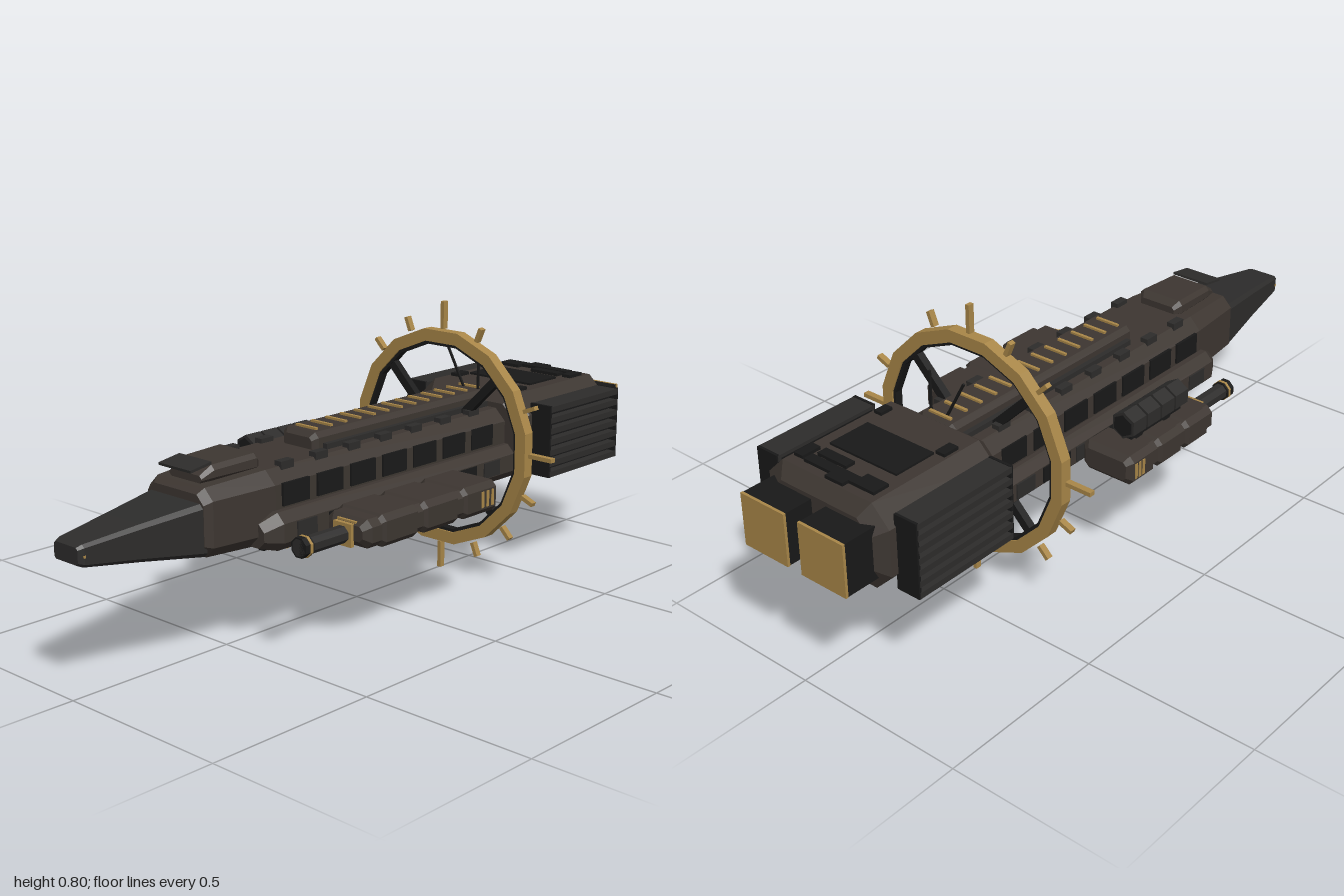
import * as THREE from 'three';

const mat = (color) => new THREE.MeshStandardMaterial({ color, flatShading: true });

export function createModel() {
  const root = new THREE.Group();
  const hull = mat(0x3d3631), dark = mat(0x2d2c2b), black = mat(0x191919), gold = mat(0xa88648);

  function add(name, geo, material, x = 0, y = 0, z = 0, parent = root) {
    const m = new THREE.Mesh(geo, material);
    m.name = name;
    m.position.set(x, y, z);
    parent.add(m);
    return m;
  }
  const box = (name, material, w, h, d, x, y, z, parent) =>
    add(name, new THREE.BoxGeometry(w, h, d), material, x, y, z, parent);

  // Eight-sided loft along z; sections are [z, halfWidth, bottom, top, chamfer], back to front
  function loft(sections) {
    const rings = sections.map(([z, w, b, t, c]) => [
      [w, b + c], [w, t - c], [w - c, t], [c - w, t], [-w, t - c], [-w, b + c], [c - w, b], [w - c, b],
    ].map(([x, y]) => [x, y, z]));
    const p = [];
    for (let s = 0; s < rings.length - 1; s++) {
      const a = rings[s], b = rings[s + 1];
      for (let i = 0; i < 8; i++) {
        const j = (i + 1) % 8;
        p.push(...a[i], ...a[j], ...b[j], ...a[i], ...b[j], ...b[i]);
      }
    }
    const back = rings[0], front = rings[rings.length - 1];
    for (let i = 1; i < 7; i++) {
      p.push(...front[0], ...front[i], ...front[i + 1]);
      p.push(...back[0], ...back[i + 1], ...back[i]);
    }
    const g = new THREE.BufferGeometry();
    g.setAttribute('position', new THREE.Float32BufferAttribute(p, 3));
    g.computeVertexNormals();
    return g;
  }
  // Block with all edges chamfered
  const block = (z0, z1, w, b, t, c) => loft([
    [z0, w - c, b + c, t - c, c * 0.6], [z0 + c, w, b, t, c], [z1 - c, w, b, t, c], [z1, w - c, b + c, t - c, c * 0.6],
  ]);
  // Tube or drum lying along z
  const drum = (r0, r1, len, sides) =>
    new THREE.CylinderGeometry(r0, r1, len, sides).rotateY(Math.PI / sides).rotateX(Math.PI / 2);

  // Hull
  add('nose', loft([[0.65, 0.105, 0.3, 0.44, 0.012], [0.83, 0.075, 0.325, 0.42, 0.01],
    [0.985, 0.052, 0.345, 0.402, 0.008], [1, 0.045, 0.352, 0.396, 0.006]]), dark);
  add('upperHull', loft([[-0.5, 0.145, 0.29, 0.485, 0.035], [0.45, 0.14, 0.29, 0.485, 0.035],
    [0.64, 0.118, 0.295, 0.475, 0.03], [0.66, 0.105, 0.305, 0.46, 0.025]]), hull);
  add('lowerHull', loft([[-0.5, 0.182, 0.284, 0.385, 0.025], [0.46, 0.182, 0.284, 0.385, 0.025],
    [0.505, 0.155, 0.295, 0.36, 0.02]]), hull);

  // Dorsal spine with rungs
  add('spine', block(-0.51, 0.23, 0.065, 0.465, 0.53, 0.014), hull);
  box('spineSkirt', dark, 0.16, 0.03, 0.7, 0, 0.485, -0.15);
  for (let i = 0; i < 13; i++) box('spineRung', gold, 0.075, 0.008, 0.009, 0, 0.532, 0.195 - i * 0.0567);

  // Bridge
  add('bridge', loft([[0.43, 0.06, 0.475, 0.505, 0.008], [0.45, 0.075, 0.475, 0.522, 0.012],
    [0.59, 0.07, 0.475, 0.518, 0.012], [0.625, 0.06, 0.475, 0.495, 0.008]]), hull);
  const visor = box('bridgeVisor', dark, 0.12, 0.007, 0.07, 0, 0.518, 0.625);
  visor.rotation.x = 0.15;

  // Hull side details
  for (const s of [-1, 1]) {
    for (let i = 0; i < 7; i++) {
      const z = 0.38 - i * 0.125;
      box('sidePanel', black, 0.012, 0.06, 0.095, s * 0.141, 0.422, z);
      box('deckHatch', dark, 0.024, 0.022, 0.045, s * 0.102, 0.487, z);
      box('sponsonPlate', i % 2 ? black : dark, 0.008, 0.045, 0.07 + (i % 3) * 0.02, s * 0.182, 0.335, z);
    }
    box('bellyStrake', black, 0.03, 0.01, 0.5, s * 0.09, 0.283, -0.1);
    box('noseLamp', gold, 0.006, 0.006, 0.006, s * 0.051, 0.373, 0.985);
  }

  // Engine block
  add('engineBlock', loft([[-0.91, 0.17, 0.32, 0.49, 0.04], [-0.88, 0.208, 0.285, 0.527, 0.055],
    [-0.51, 0.208, 0.285, 0.527, 0.055], [-0.475, 0.18, 0.3, 0.5, 0.045]]), hull);
  box('roofPanel', black, 0.23, 0.012, 0.13, 0, 0.527, -0.695);
  for (const [x, z, w, d] of [[0.02, -0.84, 0.17, 0.03], [-0.1, -0.83, 0.07, 0.05], [0.05, -0.8, 0.1, 0.03],
    [-0.02, -0.865, 0.06, 0.02], [0.13, -0.82, 0.03, 0.06], [0.13, -0.56, 0.025, 0.04], [-0.13, -0.6, 0.03, 0.05]])
    box('roofDetail', black, w, 0.014, d, x, 0.529, z);

  for (const s of [-1, 1]) {
    // Radiators with horizontal fins
    box('radiatorCore', black, 0.05, 0.19, 0.31, s * 0.225, 0.4, -0.69);
    for (let i = 0; i < 7; i++) box('radiatorFin', dark, 0.075, 0.017, 0.33, s * 0.238, 0.303 + i * 0.0322, -0.69);
    for (const z of [-0.855, -0.525]) box('radiatorEnd', black, 0.072, 0.213, 0.008, s * 0.238, 0.4, z);
    // Engines
    box('engineNozzle', black, 0.15, 0.148, 0.14, s * 0.1, 0.405, -0.925);
    box('engineExhaust', gold, 0.152, 0.15, 0.008, s * 0.1, 0.405, -0.996);
  }

  // Ring
  const ring = new THREE.Group();
  ring.name = 'ring';
  ring.position.set(0, 0.4, -0.367);
  root.add(ring);
  function band(outer, inner, depth) {
    const pts = (r) => Array.from({ length: 16 }, (_, i) => {
      const a = (i + 0.5) * Math.PI / 8;
      return new THREE.Vector2(r * Math.cos(a), r * Math.sin(a));
    });
    const shape = new THREE.Shape(pts(outer));
    shape.holes.push(new THREE.Path(pts(inner)));
    return new THREE.ExtrudeGeometry(shape, { depth, bevelEnabled: false }).translate(0, 0, -depth / 2);
  }
  add('ringBand', band(0.321, 0.285, 0.034), gold, 0, 0, 0, ring);
  add('ringLiner', band(0.286, 0.276, 0.024), black, 0, 0, 0, ring);
  for (const s of [-1, 1]) box('ringSpoke', black, 0.56, 0.025, 0.022, 0, 0, 0, ring).rotation.z = s * Math.PI / 4;
  for (let i = 0; i < 16; i++) {
    if (i === 2 || i === 7 || i === 11) continue;
    const a = i * Math.PI / 8, len = i % 4 ? 0.042 : 0.08, r = (i % 4 ? 0.323 : 0.32) + len / 2;
    box('ringTooth', gold, len, 0.012, 0.018, r * Math.cos(a), r * Math.sin(a), 0, ring).rotation.z = a;
  }

  // Gun pointing forward from z = 0
  function gun(name, x, y, z, len, r) {
    const g = new THREE.Group();
    g.name = name;
    g.position.set(x, y, z);
    root.add(g);
    box('gunCollar', gold, r * 2.2, r * 2.2, 0.012, 0, 0, 0.004, g);
    add('gunBarrel', drum(r * 0.85, r * 0.85, len, 8), dark, 0, 0, len / 2, g);
    add('gunMuzzle', drum(r, r, 0.03, 8), black, 0, 0, len - 0.015, g);
    add('gunBand', drum(r * 1.06, r * 1.06, 0.008, 8), gold, 0, 0, len - 0.02, g);
  }

  // Side pods
  function pod(s, z0, z1) {
    const g = new THREE.Group(), len = z1 - z0;
    g.name = 'sidePod';
    g.position.x = s * 0.27;
    root.add(g);
    add('podCore', block(z0 + 0.01, z1, 0.076, 0.293, 0.37, 0.018), hull, 0, 0, 0, g);
    for (let i = 0; i < 3; i++) {
      const a = z0 + i * len * 0.31;
      add('podSegment', block(a, a + len * 0.29, 0.084, 0.289, 0.376, 0.016), hull, 0, 0, 0, g);
    }
    for (const f of [0.06, 0.1, 0.14]) box('podClamp', gold, 0.006, 0.045, 0.01, s * 0.083, 0.333, z0 + len * f, g);
    box('podStripe', gold, 0.065, 0.005, 0.008, 0, 0.359, z1 - 0.006, g);
    box('podStrut', black, 0.06, 0.05, len * 0.7, -s * 0.085, 0.333, (z0 + z1) / 2, g);
    gun('podGun', s * 0.267, 0.325, z1, 0.165, 0.028);
  }
  pod(1, -0.19, 0.33);
  pod(-1, -0.15, 0.245);

  // Segmented tank on the right pod
  for (let i = 0; i < 4; i++) {
    const z = -0.048 + i * 0.0625;
    add('tankSegment', new THREE.CylinderGeometry(0.04, 0.04, 0.055, 6).rotateX(Math.PI / 2), dark, -0.27, 0.417, z);
    add('tankJoint', new THREE.CylinderGeometry(0.032, 0.032, 0.062, 6).rotateX(Math.PI / 2), black, -0.27, 0.417, z);
  }
  box('tankCradle', black, 0.04, 0.02, 0.22, -0.27, 0.38, 0.045);

  // Belly gun
  box('bellyMount', black, 0.045, 0.035, 0.08, 0, 0.28, 0.25);
  add('bellyHousing', block(0.2, 0.3, 0.027, 0.228, 0.278, 0.01), dark);
  gun('bellyGun', 0, 0.252, 0.295, 0.075, 0.026);

  // Antennas
  box('antenna', black, 0.006, 0.13, 0.006, 0.04, 0.578, -0.478);
  box('antenna', black, 0.006, 0.135, 0.006, -0.045, 0.585, -0.478).rotation.z = 0.5;

  return root;
}
